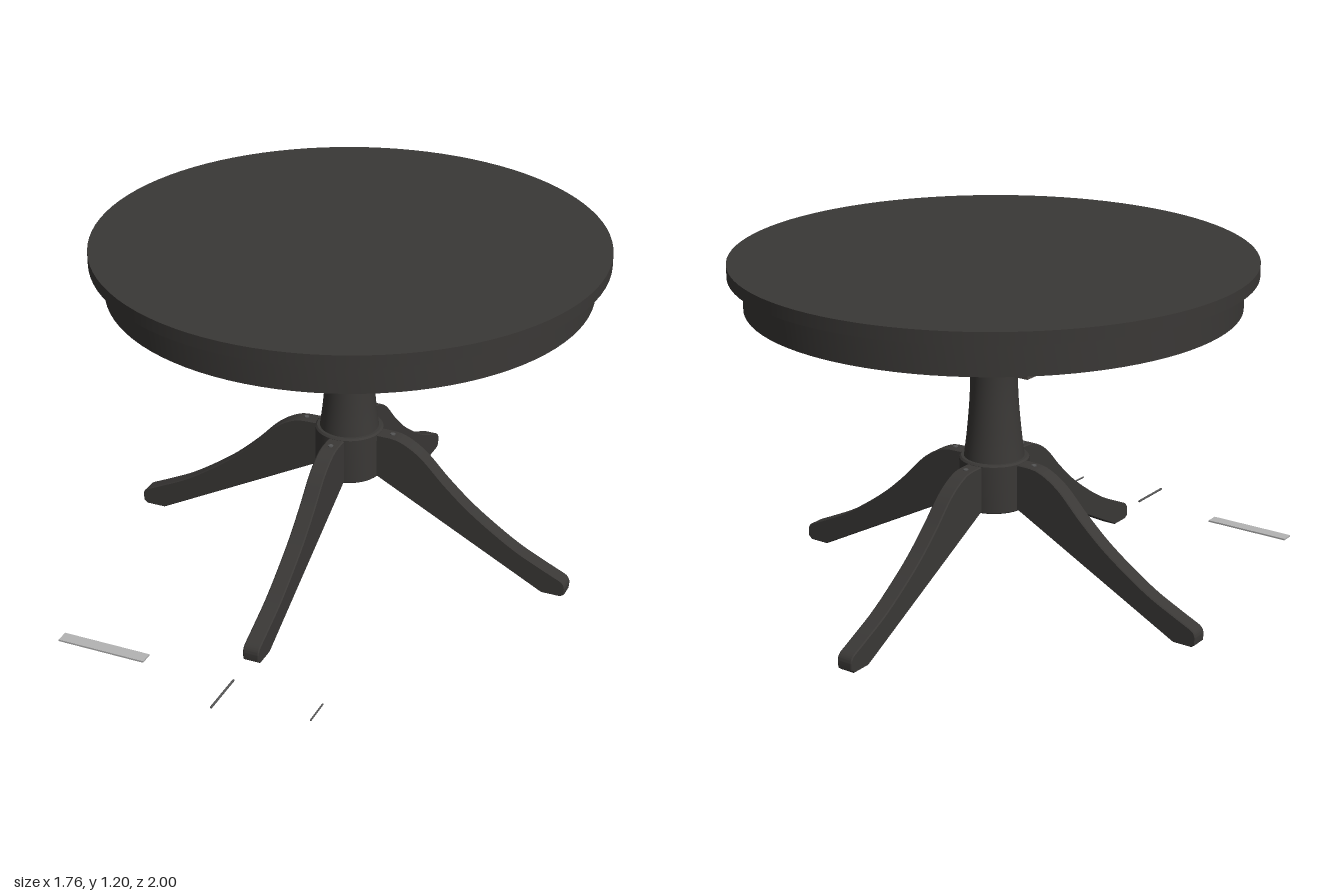
import * as THREE from 'three';
import { toCreasedNormals } from 'three/addons/utils/BufferGeometryUtils.js';

const mat = (color) => new THREE.MeshStandardMaterial({ color, side: THREE.DoubleSide });

export function createModel() {
  const root = new THREE.Group();
  root.name = 'pedestalTable';
  const dark = mat(0x3a3836), brown = mat(0x4c4744), metal = mat(0xb4b4b4), steel = mat(0x555555);

  // The table stands behind the loose hardware
  const table = new THREE.Group();
  table.name = 'table';
  table.position.z = -0.12;
  root.add(table);

  const add = (parent, name, geo, material, x = 0, y = 0, z = 0) => {
    const m = new THREE.Mesh(geo, material);
    m.name = name;
    m.position.set(x, y, z);
    parent.add(m);
    return m;
  };
  // Box given by its limits
  const box = (parent, name, material, x0, x1, y0, y1, z0, z1) =>
    add(parent, name, new THREE.BoxGeometry(x1 - x0, y1 - y0, z1 - z0), material,
      (x0 + x1) / 2, (y0 + y1) / 2, (z0 + z1) / 2);
  const lathe = (name, pts, segments, material = dark) =>
    add(table, name, toCreasedNormals(
      new THREE.LatheGeometry(pts.map(p => new THREE.Vector2(...p)), segments), 0.5), material);

  // Round top and hollow apron
  add(table, 'tabletop', new THREE.CylinderGeometry(0.88, 0.88, 0.043, 96), dark, 0, 1.1785, 0);
  lathe('apron', [[0.79, 1.157], [0.79, 1.045], [0.83, 1.045], [0.83, 1.157]], 96);

  // Turned column
  const waist = new THREE.SplineCurve([[0.104, 0.5], [0.094, 0.58], [0.085, 0.68], [0.081, 0.76], [0.081, 0.835]]
    .map(p => new THREE.Vector2(...p))).getPoints(14).map(p => [p.x, p.y]);
  lathe('column', [...waist, [0.12, 0.885], [0.12, 1.0], [0, 1.0]], 40);

  // Hub with a recessed underside
  lathe('hub', [[0, 0.345], [0.085, 0.345], [0.085, 0.325], [0.116, 0.325], [0.12, 0.329],
    [0.12, 0.494], [0.114, 0.5], [0, 0.5]], 40);
  add(table, 'hubPlate', new THREE.CylinderGeometry(0.07, 0.07, 0.008, 32), steel, 0, 0.34, 0);

  // Swept leg outline, extruded to its width
  const legShape = new THREE.Shape();
  legShape.moveTo(0.09, 0.493);
  legShape.lineTo(0.13, 0.493);
  legShape.splineThru([[0.2, 0.486], [0.28, 0.44], [0.37, 0.35], [0.46, 0.27], [0.56, 0.198],
    [0.65, 0.142], [0.74, 0.098], [0.805, 0.068]].map(p => new THREE.Vector2(...p)));
  legShape.quadraticCurveTo(0.826, 0.058, 0.826, 0.035);
  legShape.lineTo(0.824, 0.014);
  legShape.lineTo(0.81, 0.003);
  legShape.lineTo(0.74, 0.003);
  legShape.lineTo(0.12, 0.327);
  legShape.lineTo(0.09, 0.327);
  const legGeo = toCreasedNormals(new THREE.ExtrudeGeometry(legShape, {
    depth: 0.05, bevelEnabled: true, bevelThickness: 0.004, bevelSize: 0.003, bevelOffset: -0.003,
    bevelSegments: 1, curveSegments: 12,
  }).translate(0, 0, -0.025), 0.5);

  // Four legs, each with a bolt, a foot pad and a bracket above
  for (let i = 0; i < 4; i++) {
    const arm = new THREE.Group();
    arm.name = 'legAssembly';
    arm.rotation.y = i * Math.PI / 2;
    table.add(arm);
    add(arm, 'leg', legGeo, dark);
    add(arm, 'legBolt', new THREE.CylinderGeometry(0.009, 0.009, 0.006, 12), steel, 0.165, 0.492, 0);
    add(arm, 'footPad', new THREE.CylinderGeometry(0.015, 0.015, 0.006, 16), steel, 0.775, 0.003, 0);

    box(arm, 'bracketUpright', metal, 0.117, 0.124, 0.935, 1.0, -0.024, 0.024);
    box(arm, 'bracketFlange', metal, 0.12, 0.18, 0.994, 1.0, -0.024, 0.024);
    add(arm, 'bracketBolt', new THREE.CylinderGeometry(0.006, 0.006, 0.03, 10), steel, 0.135, 0.963, 0)
      .rotation.z = Math.PI / 2;
    add(arm, 'bracketWasher', new THREE.CylinderGeometry(0.026, 0.026, 0.003, 16), steel, 0.133, 0.963, 0)
      .rotation.z = Math.PI / 2;
    add(arm, 'flangeScrew', new THREE.SphereGeometry(0.012, 12, 6), steel, 0.165, 0.994, 0).scale.y = 0.6;
    add(arm, 'columnScrew', new THREE.CylinderGeometry(0.005, 0.005, 0.036, 8), steel, 0.048, 1.02, 0);
  }

  // Under-frame: mounting board, rails and metal slides
  box(table, 'mountingBoard', dark, -0.46, 0.46, 1.0, 1.022, -0.36, 0.525);
  box(table, 'backBeam', brown, -0.46, 0.46, 1.0, 1.025, -0.525, -0.455);
  box(table, 'frontBeam', brown, -0.46, 0.46, 1.0, 1.025, 0.5, 0.526);
  for (const s of [-1, 1]) {
    add(table, 'sideRail', new THREE.BoxGeometry(0.04, 0.09, 1.05), brown, s * 0.48, 1.045, 0);
    add(table, 'slide', new THREE.BoxGeometry(0.025, 0.065, 1.05), metal, s * 0.512, 1.122, 0);
  }
  box(table, 'slideLatch', brown, -0.45, -0.36, 1.005, 1.05, -0.455, -0.39);

  // Blocks tying the apron to the top
  for (const a of [0, 0.25, 0.75, 1, 1.25, 1.75]) {
    const t = a * Math.PI;
    const r = a % 1 ? 0.71 : 0.745;
    add(table, 'apronBlock', new THREE.BoxGeometry(0.05, 0.05, 0.09), brown,
      Math.sin(t) * r, 1.132, Math.cos(t) * r).rotation.y = t;
  }

  // Loose hardware lying in front
  box(root, 'metalStrip', metal, -0.64, -0.32, 0.016, 0.022, 0.815, 0.86);
  add(root, 'longPin', new THREE.CylinderGeometry(0.004, 0.004, 0.165, 10), steel, 0, 0.02, 0.9175)
    .rotation.x = Math.PI / 2;
  add(root, 'shortPin', new THREE.CylinderGeometry(0.003, 0.003, 0.095, 10), steel, 0.32, 0.02, 0.8875)
    .rotation.x = Math.PI / 2;

  return root;
}
